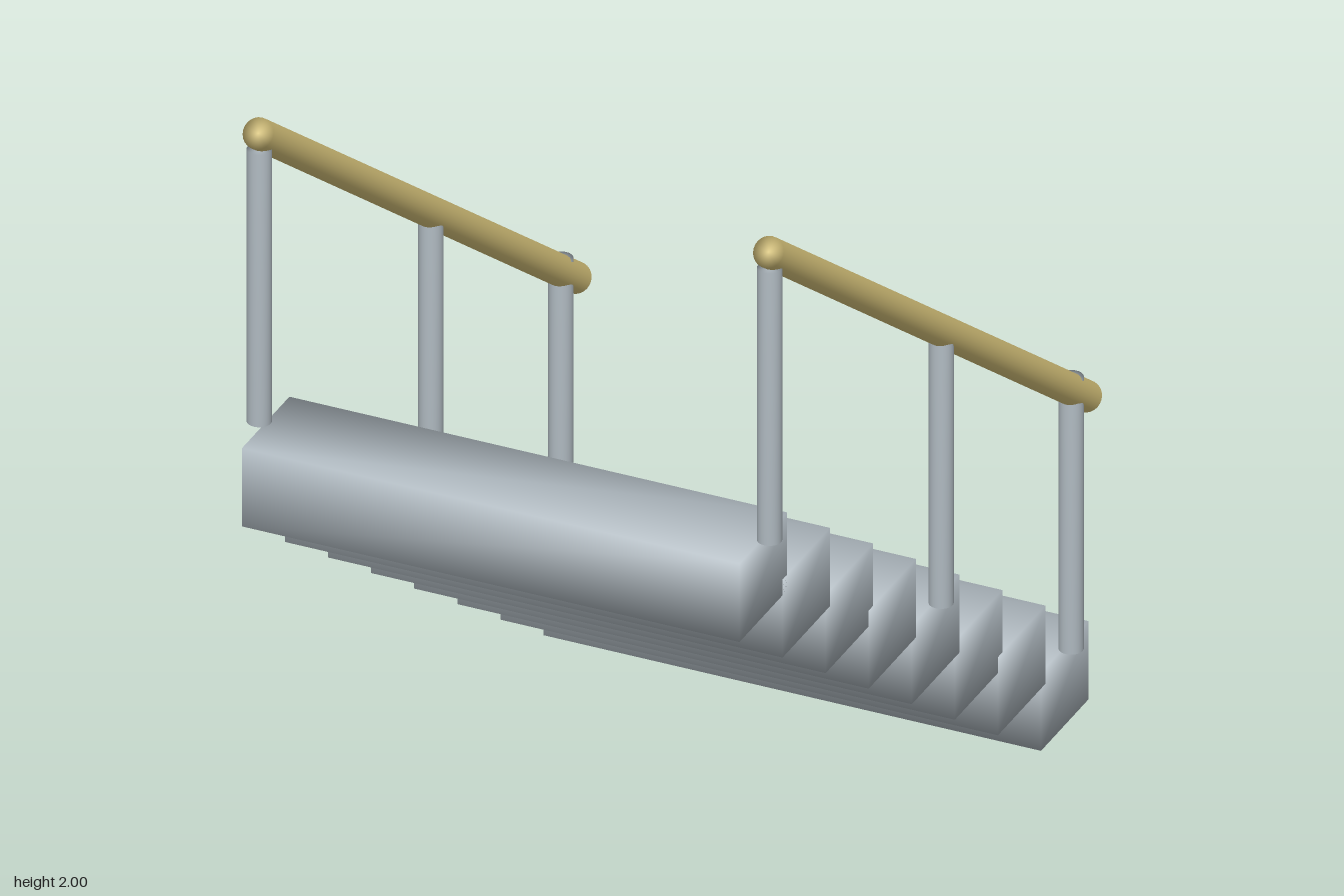
import * as THREE from 'three';
import { mergeVertices } from 'three/addons/utils/BufferGeometryUtils.js';

// Share corner vertices so the shading runs softly over the edges
function soften(geometry) {
  geometry.deleteAttribute('normal');
  geometry.deleteAttribute('uv');
  const merged = mergeVertices(geometry, 1e-5);
  merged.computeVertexNormals();
  return merged;
}

export function createModel() {
  const group = new THREE.Group();
  group.name = 'staircase';
  const steel = new THREE.MeshStandardMaterial({ name: 'greyMetal', color: 0xb0bac1 });
  const brass = new THREE.MeshStandardMaterial({ name: 'paleGold', color: 0xd8c47b });

  const add = (geometry, material, name, x, y, z) => {
    const mesh = new THREE.Mesh(geometry, material);
    mesh.name = name;
    mesh.position.set(x, y, z);
    group.add(mesh);
    return mesh;
  };

  // Eight block treads, rising towards +z
  const count = 8, height = 0.192, depth = 0.24;
  const rise = 0.153, run = 0.2178;
  const treadGeo = soften(new THREE.BoxGeometry(1.164, height, depth));
  const treadZ = (i) => (i - (count - 1) / 2) * run;
  for (let i = 0; i < count; i++) {
    add(treadGeo, steel, `tread${i + 1}`, 0, height / 2 + i * rise, treadZ(i));
  }

  // Posts stand on the bottom, middle and top treads
  const postHeight = 0.668;
  const postGeo = soften(new THREE.CylinderGeometry(0.027, 0.027, postHeight, 24));

  // Sloping handrail between its two end centres
  const low = new THREE.Vector3(0, 0.77, -0.84);
  const high = new THREE.Vector3(0, 1.972, 0.768);
  const slope = high.clone().sub(low);
  const middle = low.clone().add(high).multiplyScalar(0.5);
  const railGeo = soften(new THREE.CylinderGeometry(0.035, 0.035, slope.length(), 24));

  for (const [side, sign] of [['left', 1], ['right', -1]]) {
    const x = sign * 0.597;
    for (const i of [0, 3, 7]) {
      // The middle post stands on the fourth tread from the bottom
      const z = i === 3 ? -0.105 : treadZ(i);
      add(postGeo, steel, `${side}Post${i + 1}`, x, height + i * rise + postHeight / 2, z);
    }
    const rail = add(railGeo, brass, `${side}Handrail`, x, middle.y, middle.z);
    rail.quaternion.setFromUnitVectors(new THREE.Vector3(0, 1, 0), slope.clone().normalize());
  }
  return group;
}
